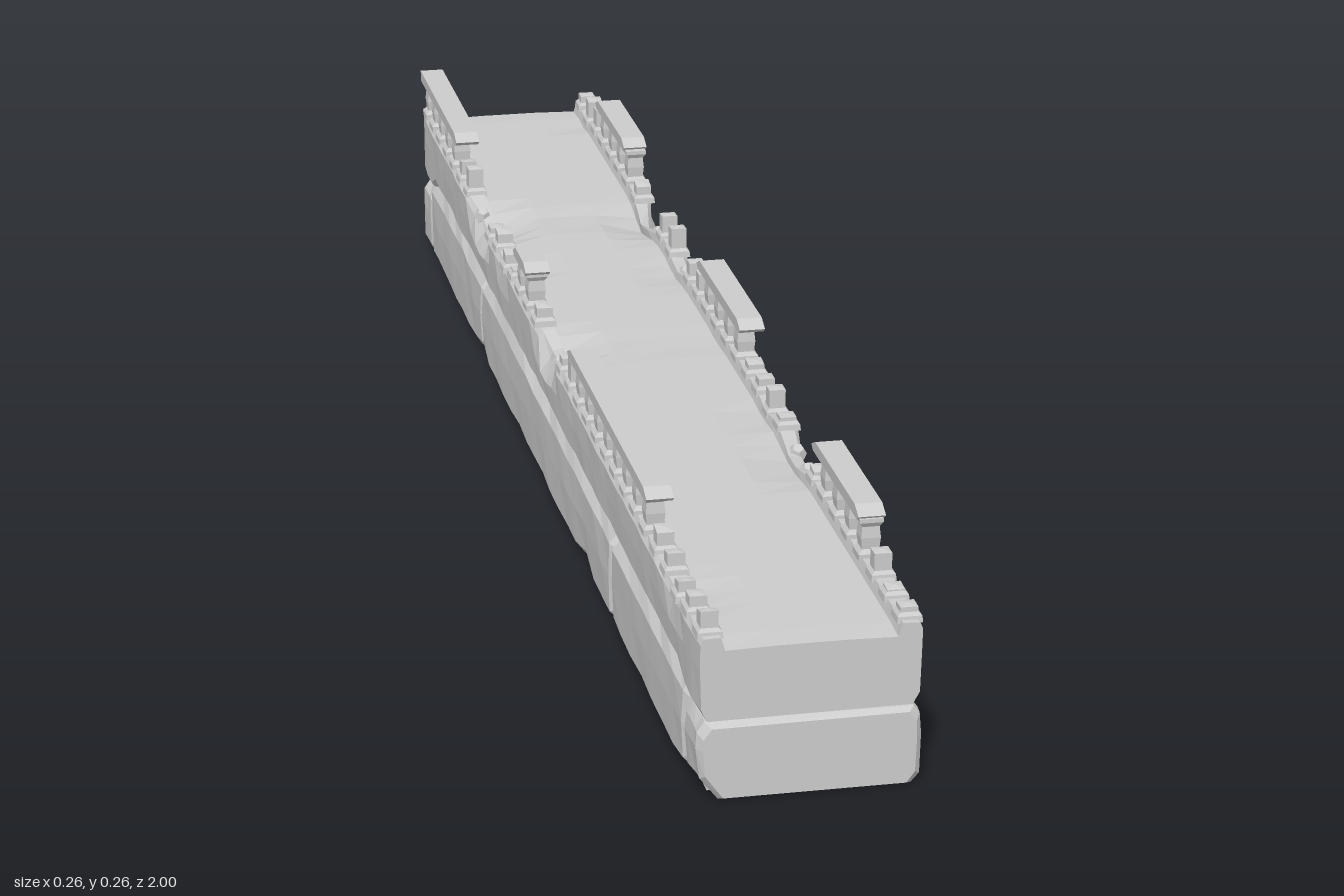
import * as THREE from 'three';

const mat = new THREE.MeshStandardMaterial({ color: 0xcccccc, flatShading: true });

// Small seeded random for chips and wear
let seed = 7;
const rnd = () => {
  seed = (seed * 16807) % 2147483647;
  return seed / 2147483647;
};

// Sum of tent-shaped chips [centre z, half length, depth] at z
const chip = (list, z) =>
  list.reduce((s, [c, w, d]) => Math.max(s, d * Math.max(0, 1 - Math.abs(z - c) / w)), 0);

// Joins counter-clockwise cross-sections along z and caps both ends
function loft(zs, section) {
  const rings = zs.map((z, i) => section(z, i, zs.length - 1));
  const pos = [];
  const put = (i, j) => pos.push(rings[i][j].x, rings[i][j].y, zs[i]);
  const n = rings[0].length;
  for (let i = 0; i < zs.length - 1; i++) {
    for (let j = 0; j < n; j++) {
      const k = (j + 1) % n;
      put(i, j); put(i, k); put(i + 1, k);
      put(i, j); put(i + 1, k); put(i + 1, j);
    }
  }
  const last = zs.length - 1;
  for (const [a, b, c] of THREE.ShapeUtils.triangulateShape(rings[0], [])) {
    put(0, a); put(0, c); put(0, b);
  }
  for (const [a, b, c] of THREE.ShapeUtils.triangulateShape(rings[last], [])) {
    put(last, a); put(last, b); put(last, c);
  }
  const g = new THREE.BufferGeometry();
  g.setAttribute('position', new THREE.Float32BufferAttribute(pos, 3));
  g.computeVertexNormals();
  return g;
}

function add(parent, name, geometry, x = 0, y = 0, z = 0) {
  const m = new THREE.Mesh(geometry, mat);
  m.name = name;
  m.position.set(x, y, z);
  parent.add(m);
  return m;
}

const V = (x, y) => new THREE.Vector2(x, y);

// Broken stretches of the kerbs, by side
const kerbChips = {
  '1': [[0.46, 0.1, 0.022], [0.3, 0.05, 0.01], [-0.25, 0.07, 0.014], [-0.47, 0.1, 0.03], [-0.93, 0.04, 0.01]],
  '-1': [[0.02, 0.08, 0.03], [-0.5, 0.1, 0.03], [0.85, 0.06, 0.01], [-0.3, 0.05, 0.012]],
};

// Upper course: deck with a kerb along each side
function deckGeometry() {
  const zs = [];
  for (let i = 0; i <= 50; i++) zs.push(-1 + i * 0.04);
  return loft(zs, (z, i, last) => {
    const bottom = Math.abs(z) > 0.91 ? 0.104 : 0.121;
    const end = i === 0 || i === last ? 0.003 : 0;
    const dip = chip([[-0.49, 0.08, 0.008], [0.02, 0.06, 0.003]], z);
    const half = (s) => {
      const d = chip(kerbChips[s], z);
      const j = () => rnd() * 0.003;
      return [
        V(s * (0.121 - j()), bottom - j()),
        V(s * (0.131 - j() * 0.5 - end), bottom + 0.01 + j()),
        V(s * (0.132 - j() * 0.4 - end), 0.165 - d * 0.5),
        V(s * (0.132 - j() * 0.5 - d * 0.6 - end), 0.197 - d - j()),
        V(s * (0.127 - j() - d * 0.5), 0.204 - d - j() * 0.5),
        V(s * (0.105 - d * 0.2), 0.204 - d * 0.8 - j() * 0.5),
        V(s * 0.1, 0.19 - d * 0.5 - dip - end),
        V(s * 0.04, 0.19 - dip * rnd() - end * 0.5),
      ];
    };
    return [...half(1), ...half(-1).reverse()];
  });
}

// Lower course: worn foundation block between two joints
function blockGeometry(z0, z1, top) {
  const n = Math.max(3, Math.round((z1 - z0) / 0.06));
  const zs = [z0 + 0.002, z0 + 0.01];
  for (let i = 1; i < n; i++) zs.push(z0 + ((z1 - z0) * i) / n);
  zs.push(z1 - 0.01, z1 - 0.002);
  return loft(zs, (z, i, last) => {
    const e = i === 0 || i === last ? 0.006 : 0;
    const half = (s) => {
      const c = s > 0
        ? chip([[-0.26, 0.08, 0.045], [0.48, 0.04, 0.012], [0.92, 0.05, 0.01]], z)
        : chip([[0.98, 0.1, 0.018], [-0.47, 0.05, 0.015], [0.3, 0.06, 0.012]], z);
      const j = () => rnd() * 0.004;
      return [
        V(s * (0.122 - c * 0.8 - j() - e), e * 0.5),
        V(s * (0.131 - c * 0.15 - j() * 0.5 - e), 0.009 + c + j() + e),
        V(s * (0.132 - j() * 0.4 - e), 0.06 + c * 0.3),
        V(s * (0.131 - j() * 0.5 - e), top - 0.011 - j() - e),
        V(s * (0.123 - j() - e), top - j() * 0.5 - e),
      ];
    };
    return [...half(1), ...half(-1).reverse()];
  });
}

// Square baluster with flared foot and head
const balusterGeometry = new THREE.LatheGeometry(
  [[0, 0], [0.016, 0], [0.016, 0.008], [0.011, 0.013], [0.0125, 0.027], [0.011, 0.041], [0.015, 0.047], [0.015, 0.052], [0, 0.052]]
    .map(([r, y]) => V(r * Math.SQRT2 * 0.95, y)), 4).rotateY(Math.PI / 4);

// Snapped baluster of a given height
function stubGeometry(h) {
  const g = new THREE.LatheGeometry(
    [[0, 0], [0.016, 0], [0.015, 0.008], [0.011, 0.012], [0.011, h], [0, h + 0.002]]
      .map(([r, y]) => V(r * Math.SQRT2 * 0.95, y)), 4).rotateY(Math.PI / 4);
  const p = g.attributes.position;
  const tilt = (rnd() - 0.5) * 0.5;
  for (let i = 0; i < p.count; i++) {
    if (p.getY(i) >= h) p.setY(i, p.getY(i) + p.getZ(i) * tilt);
  }
  return g;
}

// Handrail piece with broken, sloping ends
function railGeometry(z0, z1) {
  const cut = (z) => (Math.abs(z) > 0.98 ? 0 : 0.02);
  const a = cut(z0), b = cut(z1);
  const shape = new THREE.Shape([
    V(z0 + a * 0.4, 0), V(z1 - b * 0.4, 0), V(z1, 0.006), V(z1 - b, 0.015), V(z0 + a, 0.015), V(z0, 0.006),
  ]);
  return new THREE.ExtrudeGeometry(shape, { depth: 0.033, bevelEnabled: false })
    .translate(0, 0, -0.0165).rotateY(-Math.PI / 2);
}

export function createModel() {
  const model = new THREE.Group();
  model.name = 'ruinedBridge';

  add(model, 'deck', deckGeometry());
  add(model, 'core', new THREE.BoxGeometry(0.236, 0.12, 1.975), 0, 0.07, 0);

  // Foundation blocks
  const joints = [-1, -0.925, -0.475, 0.48, 0.92, 1];
  const foundation = new THREE.Group();
  foundation.name = 'foundation';
  model.add(foundation);
  for (let i = 0; i < joints.length - 1; i++) {
    const top = i === 0 || i === joints.length - 2 ? 0.098 : 0.116;
    add(foundation, 'foundationBlock', blockGeometry(joints[i], joints[i + 1], top));
  }

  // Surviving handrail pieces, with whole balusters below and stubs elsewhere
  const rails = {
    '1': [[0.57, 0.81], [-0.1, 0.17], [-0.82, -0.6]],
    '-1': [[0.2, 0.71], [-0.2, -0.1], [-1, -0.67]],
  };
  for (const s of [1, -1]) {
    const side = new THREE.Group();
    side.name = s > 0 ? 'leftBalustrade' : 'rightBalustrade';
    model.add(side);
    const x = s * 0.1155;
    for (const [z0, z1] of rails[s]) add(side, 'handrail', railGeometry(z0, z1), x, 0.25, 0);
    for (let i = 0; i < 33; i++) {
      const z = -0.975 + i * 0.061;
      const whole = rails[s].some(([a, b]) => z > a + 0.004 && z < b - 0.004);
      const d = chip(kerbChips[s], z);
      if (whole) add(side, 'baluster', balusterGeometry, x, 0.2, z);
      else if (d < 0.012) add(side, 'brokenBaluster', stubGeometry(0.014 + rnd() * 0.026), x, 0.199 - d * 0.8, z);
      else if (d < 0.02) add(side, 'rubble', new THREE.DodecahedronGeometry(0.012), x, 0.202 - d, z);
    }
  }
  return model;
}
